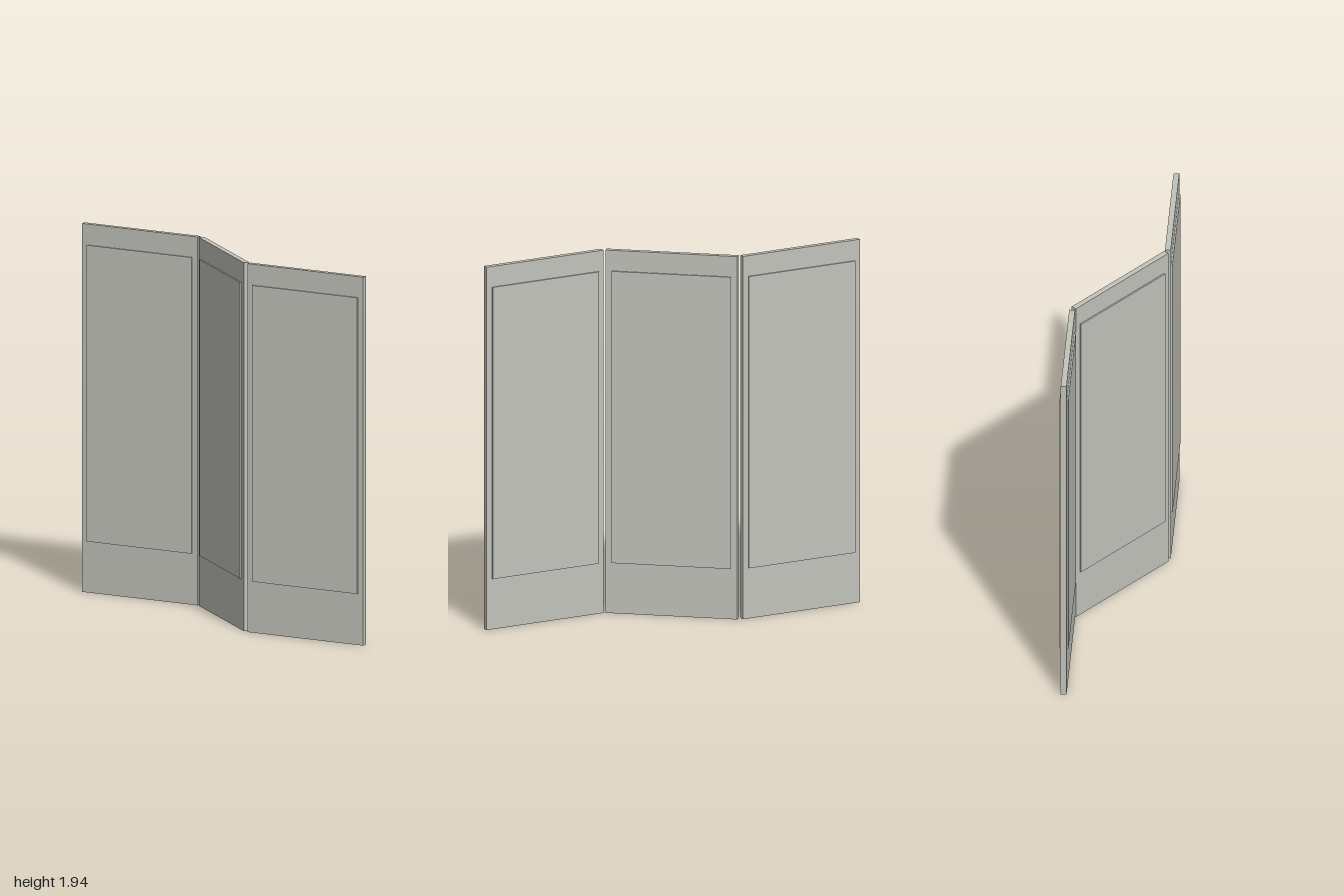
import * as THREE from 'three';

// Three-panel folding screen, zigzagging at 20 degrees
export function createModel() {
  const group = new THREE.Group();
  group.name = 'foldingScreen';

  const paleGrey = new THREE.MeshStandardMaterial({ color: 0xc2c3bb });
  paleGrey.name = 'paleGrey';

  const height = 1.94, width = 0.691, thick = 0.03;
  const pitch = 0.67, fold = THREE.MathUtils.degToRad(20);
  const plateBottom = 0.27, plateTop = 1.83, plateWidth = 0.628, plateThick = 0.008;

  const slab = new THREE.BoxGeometry(width, height, thick);
  const plate = new THREE.BoxGeometry(plateWidth, plateTop - plateBottom, plateThick);

  const addMesh = (parent, name, geometry, y, z) => {
    const mesh = new THREE.Mesh(geometry, paleGrey);
    mesh.name = name;
    mesh.position.set(0, y, z);
    parent.add(mesh);
  };

  ['rightPanel', 'middlePanel', 'leftPanel'].forEach((name, i) => {
    const panel = new THREE.Group();
    panel.name = name;
    panel.position.x = (i - 1) * pitch;
    panel.rotation.y = i === 1 ? -fold : fold;

    // Board with a raised plate on each face
    addMesh(panel, 'board', slab, height / 2, 0);
    const plateY = (plateBottom + plateTop) / 2;
    const plateZ = (thick + plateThick) / 2;
    addMesh(panel, 'frontPlate', plate, plateY, plateZ);
    addMesh(panel, 'backPlate', plate, plateY, -plateZ);
    group.add(panel);
  });

  return group;
}
